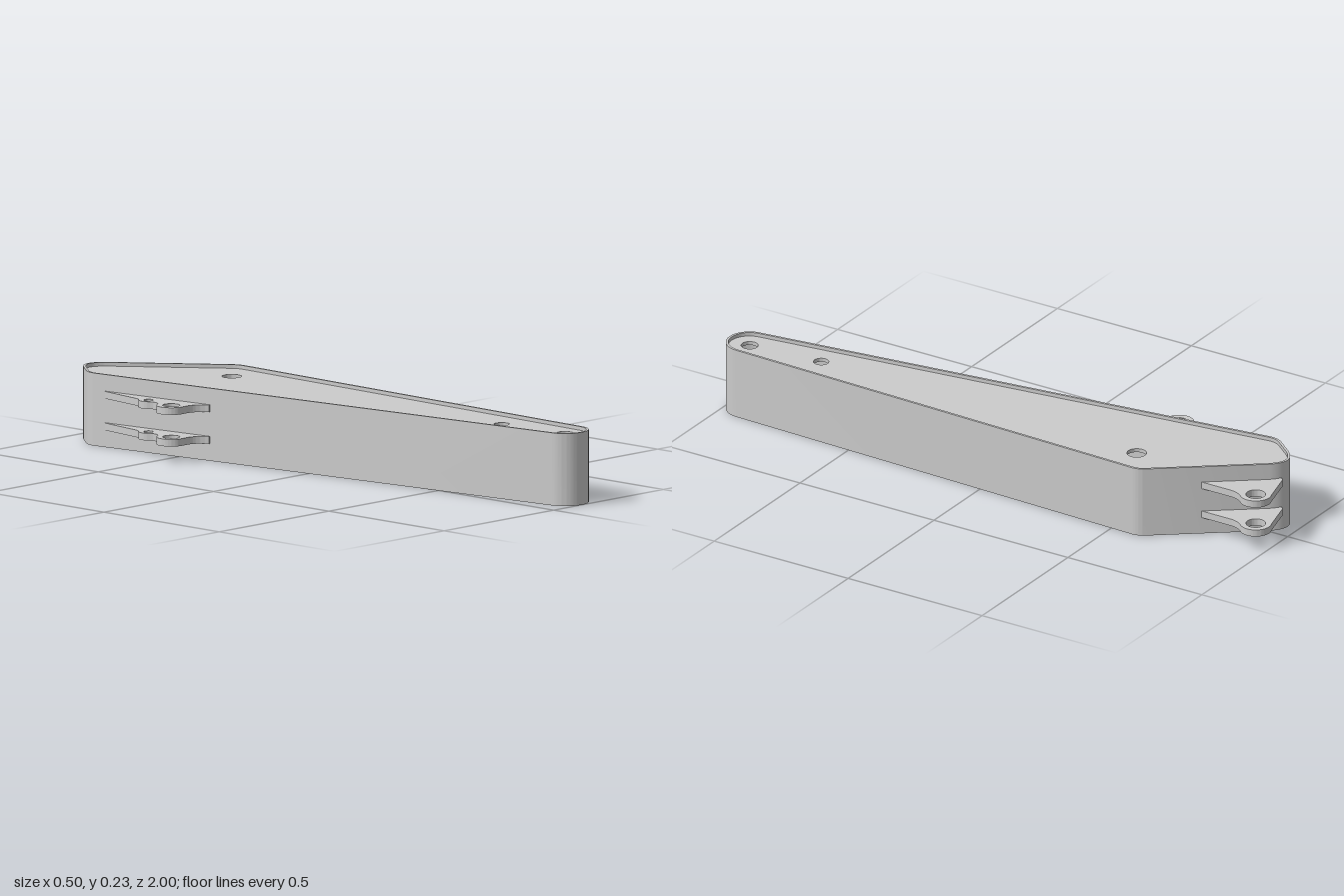
import * as THREE from 'three';
import { toCreasedNormals } from 'three/addons/utils/BufferGeometryUtils.js';

const V = (x, z) => new THREE.Vector2(x, z);
const HEIGHT = 0.232, WALL = 0.008, RECESS = 0.012, PLATE = 0.012;

// Plan shapes are drawn in x/z and extruded between two heights
function slab(name, shape, y0, y1, material) {
  const geo = new THREE.ExtrudeGeometry(shape, { depth: y1 - y0, bevelEnabled: false, curveSegments: 24 });
  geo.rotateX(Math.PI / 2);
  geo.translate(0, y1, 0);
  const mesh = new THREE.Mesh(toCreasedNormals(geo, 0.5), material);
  mesh.name = name;
  return mesh;
}

function drill(shape, x, z, r) {
  const hole = new THREE.Path();
  hole.absarc(x, z, r, 0, Math.PI * 2, true);
  shape.holes.push(hole);
}

// Round a corner p between neighbours a and b, cutting back by d
function corner(path, a, p, b, d) {
  const s = p.clone().add(a.clone().sub(p).setLength(d));
  const e = p.clone().add(b.clone().sub(p).setLength(d));
  path.lineTo(s.x, s.y);
  path.quadraticCurveTo(p.x, p.y, e.x, e.y);
}

// Outline of the tapered box: three rounded corners and a round nose
function armOutline() {
  const left = V(-0.18, -0.85), tip = V(-0.06, -1.0), right = V(0.25, -0.6);
  const noseR = V(0.205, 0.927), noseL = V(0.056, 0.935);
  const path = new THREE.Path();
  path.moveTo(noseL.x, noseL.y);
  corner(path, noseL, left, tip, 0.03);
  corner(path, left, tip, right, 0.1);
  corner(path, tip, right, noseR, 0.025);
  path.lineTo(noseR.x, noseR.y);
  path.absarc(0.13, 0.925, 0.075, 0.03, Math.PI - 0.13, false);
  const pts = path.getPoints(20);
  return pts.filter((p, i) => p.distanceTo(pts[(i + 1) % pts.length]) > 0.002);
}

// Move a closed outline inward by d with mitred corners
function inset(pts, d) {
  const n = pts.length;
  return pts.map((p, i) => {
    const u = p.clone().sub(pts[(i + n - 1) % n]).normalize();
    const v = pts[(i + 1) % n].clone().sub(p).normalize();
    const m = V(-u.y - v.y, u.x + v.x).normalize();
    return p.clone().addScaledVector(m, d / (m.x * -u.y + m.y * u.x));
  });
}

// Two-hole lug on the right-hand wall
function sideLug() {
  const s = new THREE.Shape();
  s.moveTo(-0.168, -0.79);
  s.lineTo(-0.176, -0.775);
  s.lineTo(-0.196, -0.625);
  s.quadraticCurveTo(-0.198, -0.61, -0.212, -0.6);
  s.quadraticCurveTo(-0.228, -0.577, -0.212, -0.553);
  s.quadraticCurveTo(-0.196, -0.53, -0.22, -0.508);
  s.absarc(-0.206, -0.463, 0.047, -1.87, -Math.PI * 1.5, true);
  s.lineTo(-0.175, -0.417);
  s.quadraticCurveTo(-0.14, -0.412, -0.122, -0.378);
  s.lineTo(-0.112, -0.378);
  drill(s, -0.206, -0.463, 0.027);
  drill(s, -0.19, -0.577, 0.015);
  return s;
}

// Single-hole lug on the slanted rear wall
function rearLug() {
  const s = new THREE.Shape();
  s.moveTo(-0.035, -0.955);
  s.lineTo(-0.025, -0.965);
  s.lineTo(0.09, -0.996);
  s.absarc(0.108, -0.95, 0.05, -1.92, 0.75, false);
  s.quadraticCurveTo(0.126, -0.895, 0.126, -0.865);
  s.lineTo(0.126, -0.752);
  s.lineTo(0.12, -0.758);
  drill(s, 0.108, -0.95, 0.031);
  return s;
}

export function createModel() {
  const group = new THREE.Group();
  group.name = 'boomArm';
  const grey = new THREE.MeshStandardMaterial({ color: 0xcccccc, side: THREE.DoubleSide });

  // Hollow side wall running all the way round
  const outer = armOutline();
  const inner = inset(outer, WALL);
  const ring = new THREE.Shape(outer);
  ring.holes.push(new THREE.Path(inner));
  group.add(slab('sideWall', ring, 0, HEIGHT, grey));

  // Recessed top and bottom plates with pin holes
  const plate = new THREE.Shape(inner);
  drill(plate, 0.13, -0.52, 0.031);
  drill(plate, 0.108, 0.672, 0.024);
  drill(plate, 0.13, 0.925, 0.027);
  group.add(slab('topPlate', plate, HEIGHT - RECESS - PLATE, HEIGHT - RECESS, grey));
  group.add(slab('bottomPlate', plate, RECESS, RECESS + PLATE, grey));

  // Paired lugs
  for (const [level, y] of [['Lower', 0.055], ['Upper', 0.156]]) {
    group.add(slab('sideLug' + level, sideLug(), y, y + 0.023, grey));
    group.add(slab('rearLug' + level, rearLug(), y, y + 0.023, grey));
  }
  return group;
}
